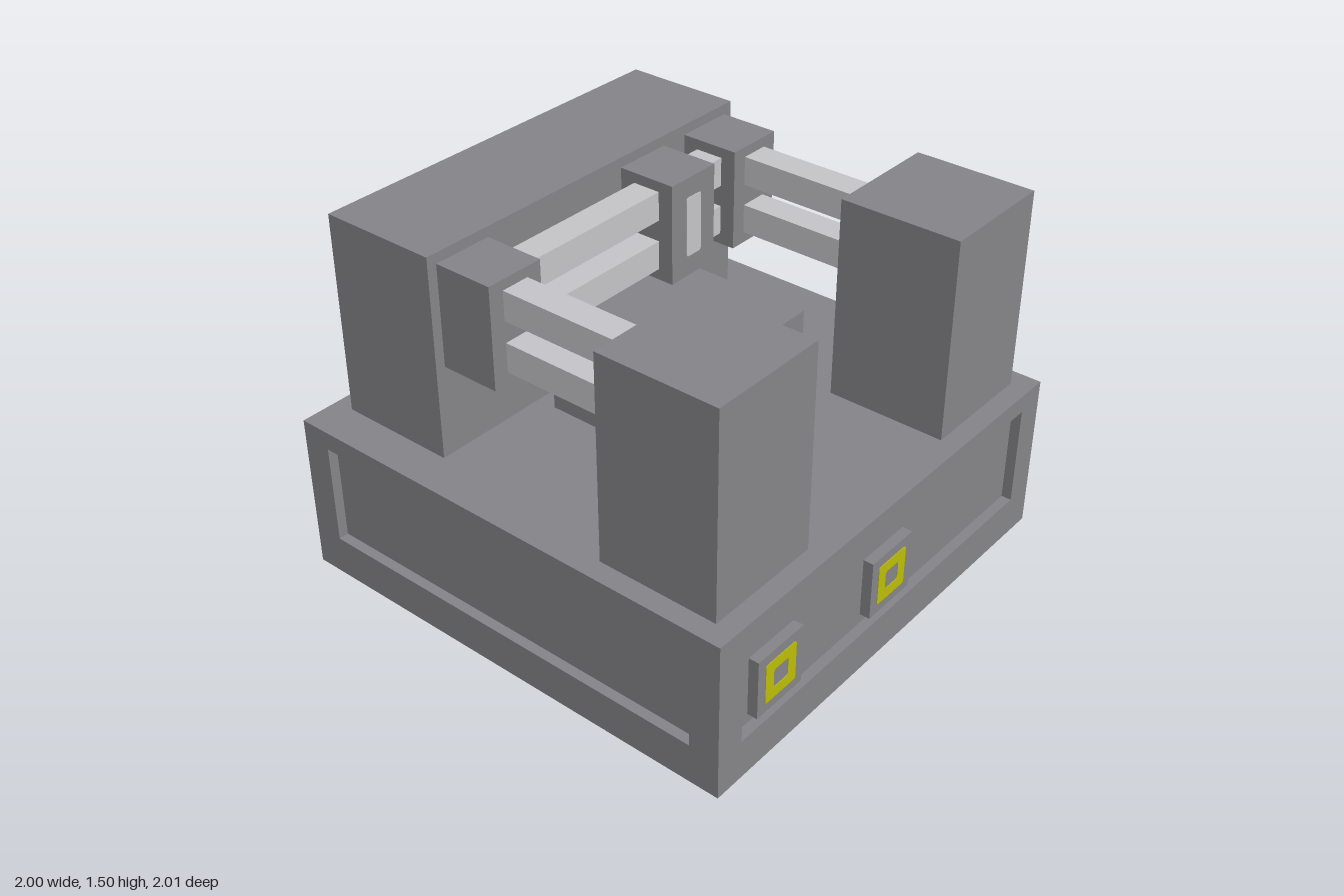
import * as THREE from 'three';

const U = 1 / 24;   // layout unit
const D = U;        // recess depth
const H = 16 * U;   // base height

function mat(name, color) {
  const m = new THREE.MeshStandardMaterial({ color });
  m.name = name;
  return m;
}

// Rectangle outline with slightly rounded corners
function roundRect(Type, x0, x1, y0, y1, r) {
  const p = new Type();
  p.moveTo(x0 + r, y0);
  p.lineTo(x1 - r, y0);
  p.quadraticCurveTo(x1, y0, x1, y0 + r);
  p.lineTo(x1, y1 - r);
  p.quadraticCurveTo(x1, y1, x1 - r, y1);
  p.lineTo(x0 + r, y1);
  p.quadraticCurveTo(x0, y1, x0, y1 - r);
  p.lineTo(x0, y0 + r);
  p.quadraticCurveTo(x0, y0, x0 + r, y0);
  return p;
}

function rect(Type, x0, x1, y0, y1) {
  const v = [[x0, y0], [x1, y0], [x1, y1], [x0, y1]];
  return new Type(v.map(([x, y]) => new THREE.Vector2(x, y)));
}

export function createModel() {
  const model = new THREE.Group();
  model.name = 'machine';
  const grey = mat('casing grey', 0x858589);
  const silver = mat('light metal', 0xc5c5c9);
  const yellow = mat('yellow', 0xbdbd08);
  const blue = mat('blue', 0x2094b4);
  const orange = mat('orange', 0xcc7412);
  const green = mat('green', 0x2cae2c);

  function add(parent, name, geometry, material) {
    const m = new THREE.Mesh(geometry, material);
    m.name = name;
    parent.add(m);
    return m;
  }

  function box(parent, name, material, x0, x1, y0, y1, z0, z1) {
    const m = add(parent, name, new THREE.BoxGeometry(x1 - x0, y1 - y0, z1 - z0), material);
    m.position.set((x0 + x1) / 2, (y0 + y1) / 2, (z0 + z1) / 2);
    return m;
  }

  // Thin painted plate facing +z
  function plate(parent, name, material, shape, z) {
    const g = new THREE.ExtrudeGeometry(shape, { depth: 0.003, bevelEnabled: false, curveSegments: 3 });
    add(parent, name, g, material).position.z = z;
  }

  // One side of the base: a wall with recessed panels, turned into place
  function side(name, angle, half, panels) {
    const g = new THREE.Group();
    g.name = name;
    g.rotation.y = angle;
    const wall = rect(THREE.Shape, -half, half, 0, H);
    for (const [a, b] of panels) wall.holes.push(rect(THREE.Path, a, b, 4 * U, 14.15 * U));
    const geo = new THREE.ExtrudeGeometry(wall, { depth: D, bevelEnabled: false });
    add(g, name + 'Wall', geo, grey).position.z = 1 - D;
    model.add(g);
    return g;
  }

  // Raised square port with a coloured ring
  function port(parent, x, material) {
    const y = 8 * U;
    box(parent, 'port', grey, x - 3 * U, x + 3 * U, y - 3 * U, y + 3 * U, 1 - D, 1);
    const ring = roundRect(THREE.Shape, x - 0.085, x + 0.085, y - 0.085, y + 0.085, 0.012);
    ring.holes.push(roundRect(THREE.Path, x - 0.04, x + 0.04, y - 0.04, y + 0.04, 0.012));
    plate(parent, 'portRing', material, ring, 1);
  }

  // Base
  box(model, 'baseCore', grey, -1 + D, 1 - D, 0, H, -1 + D, 1 - D);
  const wide = [[-21 * U, 21 * U]];
  const front = side('front', 0, 1, wide);
  const back = side('back', Math.PI, 1, wide);
  const left = side('leftSide', Math.PI / 2, 1 - D, [[-21 * U, -8 * U], [8 * U, 21 * U]]);
  side('rightSide', -Math.PI / 2, 1 - D, wide);
  port(front, -16 * U, yellow);
  port(front, 0, yellow);
  port(back, -16 * U, blue);
  port(back, 0, orange);

  // Indicator lights
  const lights = [
    [orange, -0.165, -0.09, 0.42, 0.495, 0.004],
    [green, -0.165, -0.085, 0.25, 0.333, 0.016],
    [green, 0.042, 0.125, 0.46, 0.498, 0.016],
    [green, 0.042, 0.125, 0.335, 0.418, 0.01],
    [green, 0.042, 0.125, 0.25, 0.295, 0.014],
  ];
  for (const [m, ...r] of lights) plate(left, 'light', m, roundRect(THREE.Shape, ...r), 1);

  // Towers and centre block
  box(model, 'backTower', grey, -20 * U, 20 * U, H, 36 * U, -22 * U, -10 * U);
  box(model, 'centreBlock', grey, -8 * U, 8 * U, H, 25 * U, -8 * U, 8 * U);
  for (const s of [-1, 1]) {
    const c = s * 16 * U;
    box(model, 'frontTower', grey, c - 6 * U, c + 6 * U, H, 36 * U, 10 * U, 22 * U);
  }

  // Brackets on the back tower
  for (const c of [-16, 7, 16]) {
    box(model, 'bracket', grey, (c - 3) * U, (c + 3) * U, 25 * U, 35 * U, -10 * U, -4 * U);
  }
  plate(model, 'bracketSlot', silver, roundRect(THREE.Shape, 0.25, 0.335, 1.127, 1.377, 0.012), -4 * U);

  // Rails in pairs, across the back and along each side
  const w = 0.06;
  for (const y of [1.148, 1.356]) {
    box(model, 'crossRail', silver, -13 * U, 13 * U, y - w, y + w, -7 * U - w, -7 * U + w);
    for (const s of [-1, 1]) {
      const c = s * 16 * U;
      box(model, 'sideRail', silver, c - w, c + w, y - w, y + w, -4 * U, 10 * U);
    }
  }
  return model;
}
